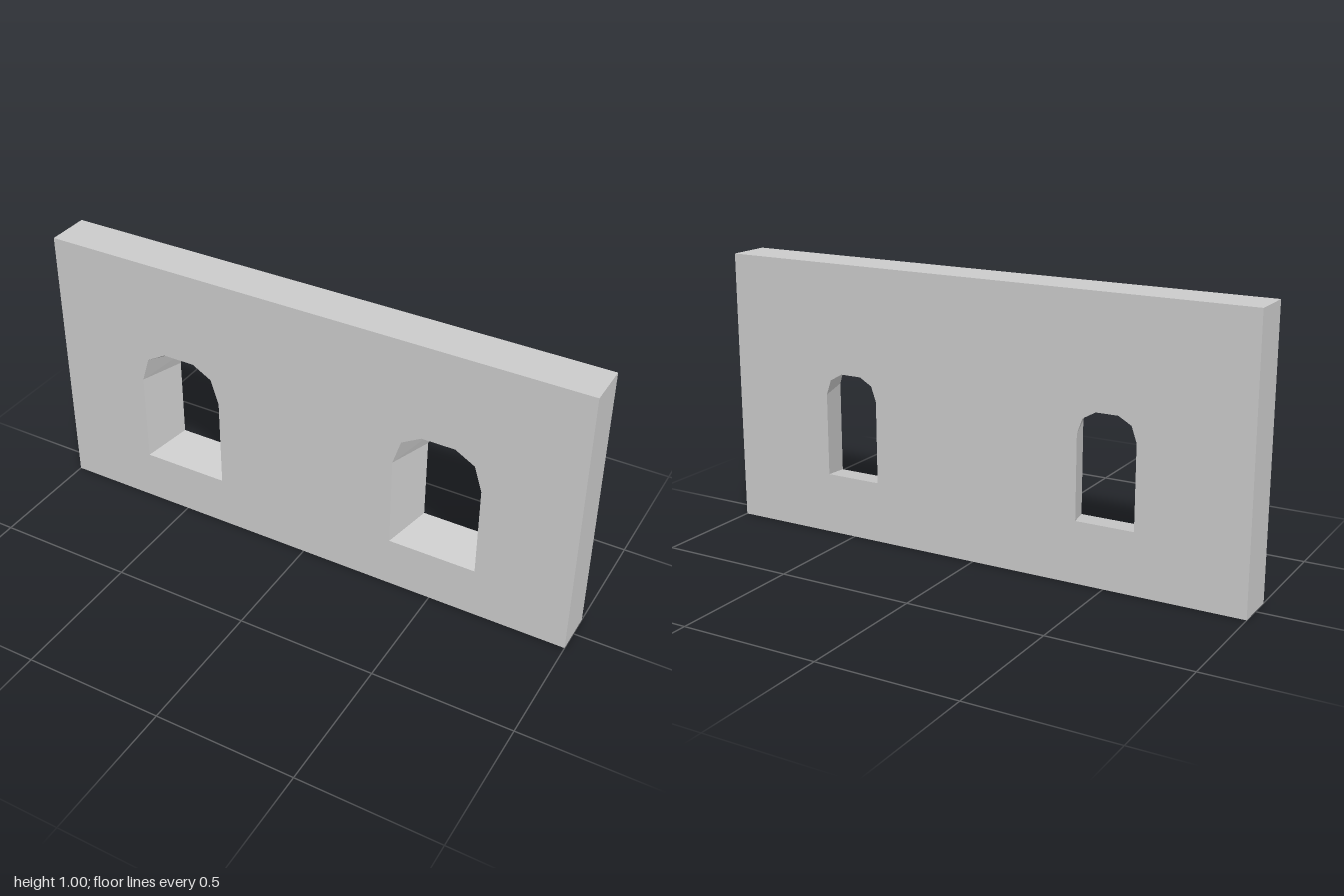
import * as THREE from 'three';

const HALF_DEPTH = 0.079;
const material = new THREE.MeshStandardMaterial({ color: 0xcccccc, flatShading: true });

// Wall outline, counter-clockwise
const outline = [[-1, 0], [1, 0], [1, 1], [-1, 1]];

// Right half of the arched opening from crown to sill: wide at the front, narrow at the back
const frontArch = [[0.06, 0.655], [0.131, 0.614], [0.16, 0.522], [0.16, 0.188]];
const backArch = [[0.04, 0.604], [0.087, 0.577], [0.106, 0.522], [0.106, 0.222]];

// Mirrors a half arch into a full clockwise loop centred on cx
function archLoop(half, cx) {
  const left = half.map(([x, y]) => [-x, y]).reverse();
  return [...half, ...left].map(([x, y]) => [x + cx, y]);
}

const toVectors = (loop) => loop.map(([x, y]) => new THREE.Vector2(x, y));

// Flat wall face with two arched holes
function faceGeometry(arch) {
  const shape = new THREE.Shape(toVectors(outline));
  for (const cx of [-0.5, 0.5]) shape.holes.push(new THREE.Path(toVectors(archLoop(arch, cx))));
  return new THREE.ShapeGeometry(shape).translate(0, 0, HALF_DEPTH);
}

// Band of quads joining a front loop to a back loop
function bandGeometry(front, back) {
  const positions = [];
  front.forEach((a, i) => {
    const j = (i + 1) % front.length;
    const fa = [...a, HALF_DEPTH], fb = [...front[j], HALF_DEPTH];
    const ba = [...back[i], -HALF_DEPTH], bb = [...back[j], -HALF_DEPTH];
    positions.push(...fa, ...ba, ...bb, ...fa, ...bb, ...fb);
  });
  const geometry = new THREE.BufferGeometry();
  geometry.setAttribute('position', new THREE.Float32BufferAttribute(positions, 3));
  geometry.computeVertexNormals();
  return geometry;
}

export function createModel() {
  const model = new THREE.Group();
  model.name = 'wallWithWindows';
  const add = (name, geometry) => {
    const mesh = new THREE.Mesh(geometry, material);
    mesh.name = name;
    model.add(mesh);
  };

  // Wall faces and outer edges
  add('frontFace', faceGeometry(frontArch));
  add('backFace', faceGeometry(backArch).rotateY(Math.PI));
  add('wallEdges', bandGeometry(outline, outline));

  // Splayed window reveals
  for (const [name, cx] of [['rightWindowReveal', -0.5], ['leftWindowReveal', 0.5]]) {
    add(name, bandGeometry(archLoop(frontArch, cx), archLoop(backArch, cx)));
  }
  return model;
}
